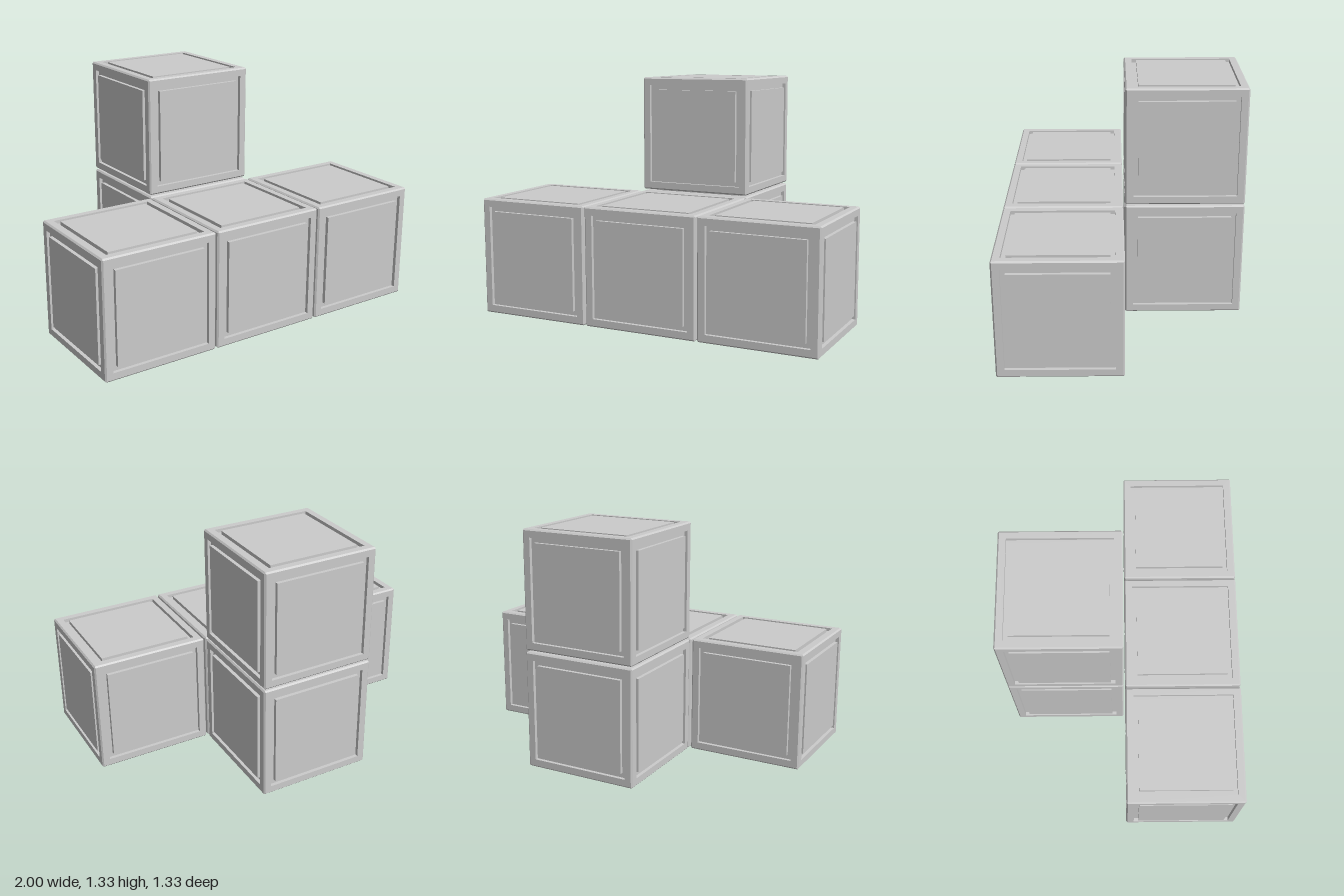
import * as THREE from 'three';
import { mergeGeometries } from 'three/addons/utils/BufferGeometryUtils.js';

const SIZE = 0.66;    // cube edge length
const PITCH = 0.67;   // cube spacing, leaving a thin seam
const H = SIZE / 2;
const BEVEL = 0.008;
const GROOVE = 0.02;  // groove depth

// One cube face towards +z: nested square rings of [half width, height]
function faceGeometry() {
  const rings = [
    [H - BEVEL / 2, H - BEVEL / 2], // middle of the chamfer, shared with neighbours
    [H - BEVEL, H],
    [H - 0.045, H],                 // frame
    [H - 0.045, H - GROOVE],        // groove wall
    [H - 0.071, H - GROOVE],        // groove floor
    [H - 0.071, H],                 // panel wall
    [0, H],                         // panel
  ];
  const corners = [[-1, -1], [1, -1], [1, 1], [-1, 1]];
  const point = ([r, z], k) => [corners[k % 4][0] * r, corners[k % 4][1] * r, z];
  const positions = [];
  for (let i = 0; i < rings.length - 1; i++) {
    for (let k = 0; k < 4; k++) {
      const a = point(rings[i], k), b = point(rings[i], k + 1);
      const c = point(rings[i + 1], k + 1), d = point(rings[i + 1], k);
      positions.push(...a, ...b, ...c);
      if (rings[i + 1][0] > 0) positions.push(...a, ...c, ...d);
    }
  }
  const geometry = new THREE.BufferGeometry();
  geometry.setAttribute('position', new THREE.Float32BufferAttribute(positions, 3));
  geometry.computeVertexNormals();
  return geometry;
}

// Six copies of the face make a closed cube
function cubeGeometry() {
  const faces = [];
  for (let i = 0; i < 4; i++) faces.push(faceGeometry().rotateY(i * Math.PI / 2));
  for (const s of [-1, 1]) faces.push(faceGeometry().rotateX(s * Math.PI / 2));
  return mergeGeometries(faces);
}

export function createModel() {
  const group = new THREE.Group();
  group.name = 'cubeCluster';
  const geometry = cubeGeometry();
  const material = new THREE.MeshStandardMaterial({ color: 0xcccccc, flatShading: true });

  // Grid cell of each cube: column, level, depth
  const cubes = {
    frontRightCube: [-1, 0, 0.5],
    frontMiddleCube: [0, 0, 0.5],
    frontLeftCube: [1, 0, 0.5],
    backLowerCube: [0, 0, -0.5],
    backUpperCube: [0, 1, -0.5],
  };
  for (const [name, [x, y, z]] of Object.entries(cubes)) {
    const cube = new THREE.Mesh(geometry, material);
    cube.name = name;
    cube.position.set(x * PITCH, H + y * PITCH, z * PITCH);
    group.add(cube);
  }
  return group;
}
